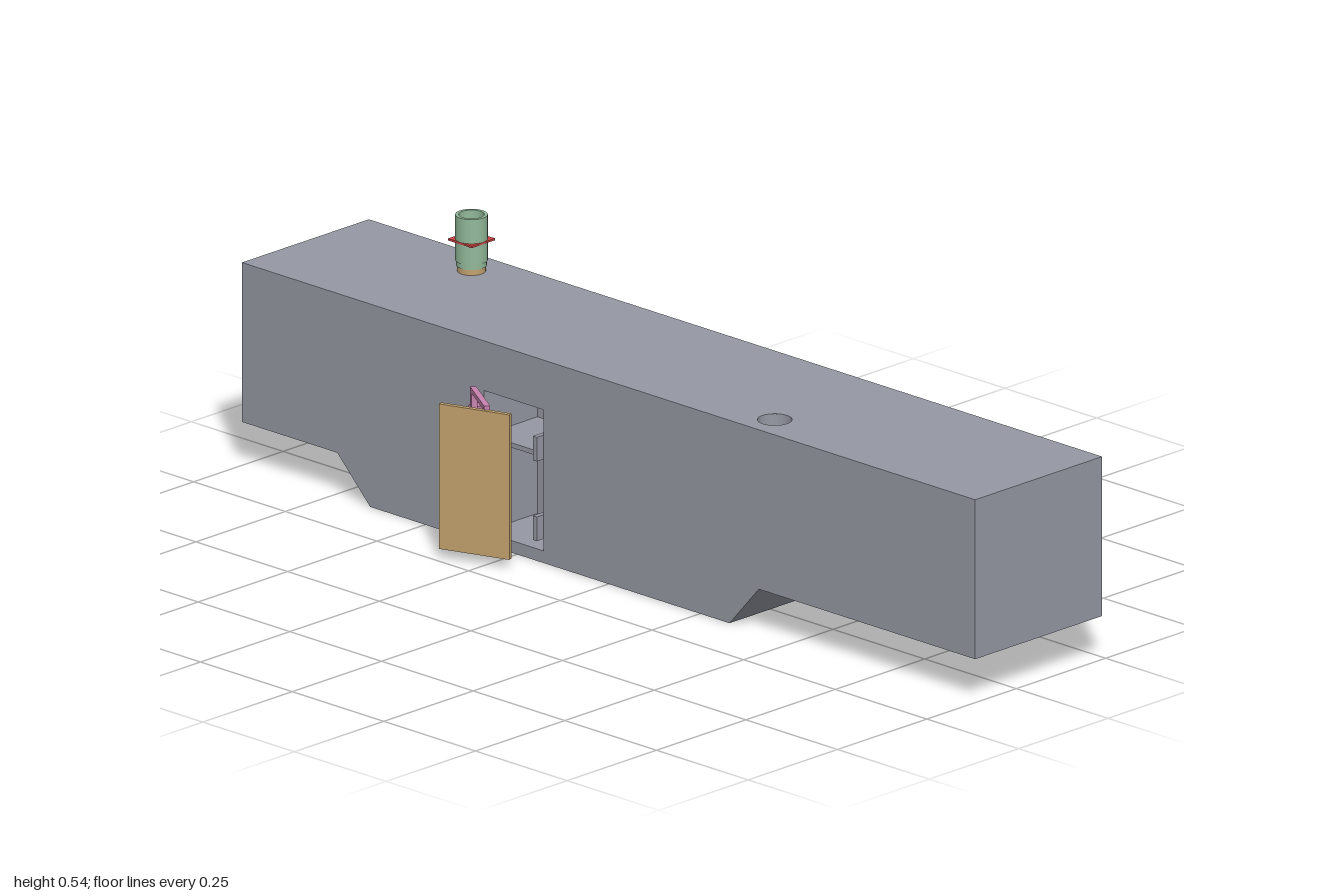
import * as THREE from 'three';

export function createModel() {
  const model = new THREE.Group();
  const mat = (name, color, side = THREE.FrontSide) => {
    const m = new THREE.MeshStandardMaterial({ color, side });
    m.name = name;
    return m;
  };
  const grey = mat('bodyGrey', 0x9699a4, THREE.DoubleSide);
  const tan = mat('doorTan', 0xc4a26f);
  const pink = mat('armPink', 0xc883b0);
  const green = mat('tubeGreen', 0x92b99a, THREE.DoubleSide);
  const red = mat('ringRed', 0xd04545);

  const add = (name, geo, material, x = 0, y = 0, z = 0, parent = model) => {
    const m = new THREE.Mesh(geo, material);
    m.name = name;
    m.position.set(x, y, z);
    parent.add(m);
    return m;
  };
  const box = (name, material, x0, x1, y0, y1, z0, z1, parent = model) =>
    add(name, new THREE.BoxGeometry(x1 - x0, y1 - y0, z1 - z0), material,
      (x0 + x1) / 2, (y0 + y1) / 2, (z0 + z1) / 2, parent);

  // Body: front and back skins joined by panels along the profile
  const zF = 0.115, zB = -0.24, top = 0.42;
  const profile = [[-1, 0.09], [-0.74, 0.09], [-0.65, 0], [0.33, 0], [0.41, 0.09], [1, 0.09], [1, top], [-1, top]]
    .map(([x, y]) => new THREE.Vector2(x, y));
  const opening = { x0: -0.34, x1: -0.178, y0: 0.025, y1: 0.317 };
  const front = new THREE.Shape(profile);
  front.holes.push(new THREE.Path([
    new THREE.Vector2(opening.x0, opening.y0), new THREE.Vector2(opening.x0, opening.y1),
    new THREE.Vector2(opening.x1, opening.y1), new THREE.Vector2(opening.x1, opening.y0)]));
  add('bodyFront', new THREE.ShapeGeometry(front), grey, 0, 0, zF);
  const back = new THREE.ShapeGeometry(new THREE.Shape(profile.map(p => new THREE.Vector2(-p.x, p.y)).reverse()));
  add('bodyBack', back, grey, 0, 0, zB).rotation.y = Math.PI;
  profile.forEach((a, i) => {
    if (i === 6) return; // the top panel has its own hole
    const b = profile[(i + 1) % profile.length];
    const g = new THREE.BufferGeometry();
    g.setAttribute('position', new THREE.Float32BufferAttribute(
      [a.x, a.y, zB, b.x, b.y, zB, b.x, b.y, zF, a.x, a.y, zF], 3));
    g.setIndex([0, 1, 2, 0, 2, 3]);
    g.computeVertexNormals();
    add('bodyPanel', g, grey);
  });

  // Top panel with a round filler hole
  const lid = new THREE.Shape([[-1, -zF], [1, -zF], [1, -zB], [-1, -zB]].map(p => new THREE.Vector2(...p)));
  const holeX = 0.39, holeZ = 0.05, holeR = 0.034, holeDepth = 0.1;
  lid.holes.push(new THREE.Path().absarc(holeX, -holeZ, holeR, 0, Math.PI * 2, true));
  add('bodyTop', new THREE.ShapeGeometry(lid, 24), grey, 0, top, 0).rotation.x = -Math.PI / 2;
  add('fillerWall', new THREE.CylinderGeometry(holeR, holeR, holeDepth, 32, 1, true), grey,
    holeX, top - holeDepth / 2, holeZ);
  add('fillerFloor', new THREE.CircleGeometry(holeR, 32), grey, holeX, top - holeDepth, holeZ).rotation.x = -Math.PI / 2;

  // Compartment behind the opening, without its front face
  const depth = 0.15;
  const recess = new THREE.BoxGeometry(opening.x1 - opening.x0, opening.y1 - opening.y0, depth);
  const idx = Array.from(recess.index.array);
  idx.splice(24, 6);
  recess.setIndex(idx.map((_, i) => idx[i - i % 3 + [0, 2, 1][i % 3]]));
  const n = recess.attributes.normal;
  for (let i = 0; i < n.count; i++) n.setXYZ(i, -n.getX(i), -n.getY(i), -n.getZ(i));
  add('compartment', recess, grey, (opening.x0 + opening.x1) / 2, (opening.y0 + opening.y1) / 2, zF - depth / 2);
  box('shelf', grey, opening.x0, opening.x1, 0.215, 0.225, zF - depth, zF - 0.005);

  // Hinges: fixed lugs, and turning lugs resting on them
  for (const [y0, y1, p0, p1] of [[0.05, 0.1, 0.12, 0.145], [0.215, 0.265, 0.265, 0.288]]) {
    box('hingeLug', grey, -0.365, -0.345, y0, y1, zF, 0.134);
    box('latchLug', grey, -0.188, -0.177, y0, y1, zF - 0.02, 0.134);
    box('hingeArm', pink, -0.361, -0.34, p0, p1, zF, 0.136);
  }

  // Swinging frame: upright with two arms reaching to the door
  const pivot = [-0.345, 0.138], reach = [-0.25, 0.198];
  const armLength = Math.hypot(reach[0] - pivot[0], reach[1] - pivot[1]);
  const frame = new THREE.Group();
  frame.name = 'doorFrame';
  frame.position.set(pivot[0], 0, pivot[1]);
  frame.rotation.y = -Math.atan2(reach[1] - pivot[1], reach[0] - pivot[0]);
  model.add(frame);
  box('upright', pink, -0.006, 0.006, 0.072, 0.328, -0.006, 0.006, frame);
  for (const y of [0.072, 0.318]) box('frameArm', pink, 0.004, armLength, y, y + 0.01, -0.006, 0.006, frame);

  // Door: plate whose rear edges are bevelled in
  const door = new THREE.Group();
  door.name = 'door';
  door.position.set(-0.27, 0.17, 0.214);
  door.rotation.y = Math.atan2(0.048, 0.14);
  model.add(door);
  box('doorPlate', tan, -0.076, 0.076, -0.15, 0.15, -0.01, 0, door);
  const bevel = new THREE.BoxGeometry(0.152, 0.3, 0.013);
  const p = bevel.attributes.position;
  for (let i = 0; i < p.count; i++) {
    if (p.getZ(i) < 0) p.setXY(i, p.getX(i) * 0.92, p.getY(i) * 0.94);
  }
  bevel.computeVertexNormals();
  add('doorBevel', bevel, tan, 0, 0, -0.0165, door);

  // Chimney tube with base collar and a thin square plate
  const pipe = new THREE.Group();
  pipe.name = 'chimney';
  pipe.position.set(-0.645, 0, -0.163);
  model.add(pipe);
  add('baseCollar', new THREE.CylinderGeometry(0.028, 0.028, 0.013, 32), tan, 0, 0.4265, 0, pipe);
  const wall = [[0.03, 0.432], [0.03, 0.443], [0.032, 0.443], [0.032, 0.537], [0.025, 0.537], [0.025, 0.434]];
  // Separate bands keep the rims sharp
  for (let i = 0; i < wall.length - 1; i++) {
    const band = [wall[i], wall[i + 1]].map(q => new THREE.Vector2(...q));
    add('tube', new THREE.LatheGeometry(band, 32), green, 0, 0, 0, pipe);
  }
  const square = new THREE.Shape([[-1, -1], [1, -1], [1, 1], [-1, 1]].map(([x, y]) => new THREE.Vector2(x * 0.0325, y * 0.0325)));
  square.holes.push(new THREE.Path().absarc(0, 0, 0.0315, 0, Math.PI * 2, true));
  add('squarePlate', new THREE.ExtrudeGeometry(square, { depth: 0.004, bevelEnabled: false, curveSegments: 24 }),
    red, 0, 0.483, 0, pipe).rotation.x = -Math.PI / 2;
  return model;
}
